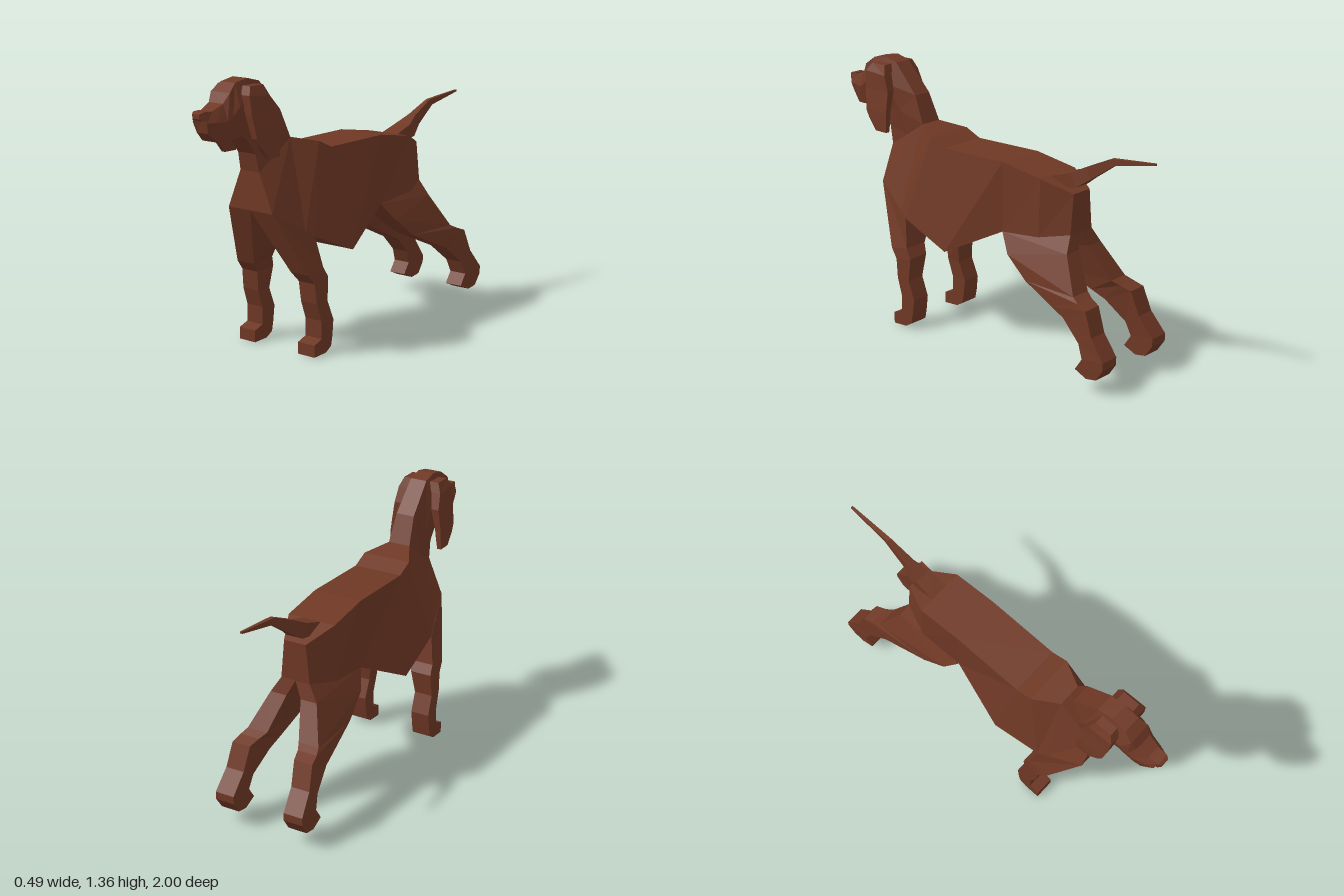
import * as THREE from 'three';

// Closed skin over rings of [x, y, z] points; winding is turned outward by signed volume.
function loft(rings) {
  const tris = [];
  const n = rings[0].length;
  for (let i = 0; i < rings.length - 1; i++) {
    for (let j = 0; j < n; j++) {
      const k = (j + 1) % n;
      const a = rings[i][j], b = rings[i][k], c = rings[i + 1][k], d = rings[i + 1][j];
      tris.push([a, b, c], [a, c, d]);
    }
  }
  const first = rings[0], last = rings[rings.length - 1];
  for (let j = 1; j < n - 1; j++) {
    tris.push([first[0], first[j + 1], first[j]], [last[0], last[j], last[j + 1]]);
  }
  let volume = 0;
  for (const [a, b, c] of tris) {
    volume += a[0] * (b[1] * c[2] - b[2] * c[1])
            + a[1] * (b[2] * c[0] - b[0] * c[2])
            + a[2] * (b[0] * c[1] - b[1] * c[0]);
  }
  if (volume < 0) tris.forEach((t) => t.reverse());
  const geometry = new THREE.BufferGeometry();
  geometry.setAttribute('position', new THREE.Float32BufferAttribute(tris.flat(2), 3));
  geometry.computeVertexNormals();
  return geometry;
}

// Completes a half ring (top to bottom on the left) with its mirror image.
const mirrorRing = (half) => [...half, ...half.map(([x, y, z]) => [-x, y, z]).reverse()];

// Limb ring: front edge z, y; back edge z, y; inner and outer x at front, then at back.
const limbRing = (side) => ([fz, fy, bz, by, fi, fo, bi = fi, bo = fo]) => [
  [side * fi, fy, fz], [side * fo, fy, fz], [side * bo, by, bz], [side * bi, by, bz],
];

export function createModel() {
  const group = new THREE.Group();
  const coat = new THREE.MeshStandardMaterial({ color: 0x6f3825, flatShading: true });
  coat.name = 'russet coat';

  const add = (name, rings) => {
    const mesh = new THREE.Mesh(loft(rings), coat);
    mesh.name = name;
    group.add(mesh);
  };

  // Torso from rump to chest
  add('torso', [
    [[0.06, 0.89, -0.57], [0.08, 0.69, -0.57]],
    [[0.13, 0.95, -0.42], [0.14, 0.66, -0.42]],
    [[0.13, 0.987, -0.18], [0.13, 0.63, -0.18]],
    [[0.13, 0.98, 0.21], [0.21, 0.467, 0.14]],
    [[0.13, 1.02, 0.30], [0.205, 0.58, 0.42]],
    [[0.06, 1.05, 0.43], [0.19, 0.61, 0.47]],
    [[0.06, 0.91, 0.65], [0.14, 0.72, 0.65]],
  ].map(mirrorRing));

  // Neck, skull and muzzle
  add('neckAndHead', [
    [[0.06, 1.05, 0.43], [0.065, 0.98, 0.54], [0.06, 0.91, 0.65]],
    [[0.05, 1.19, 0.49], [0.075, 1.10, 0.58], [0.055, 1.0, 0.67]],
    [[0.045, 1.34, 0.63], [0.085, 1.23, 0.66], [0.055, 1.08, 0.73]],
    [[0.045, 1.36, 0.71], [0.085, 1.24, 0.74], [0.055, 1.09, 0.75]],
    [[0.045, 1.345, 0.79], [0.085, 1.24, 0.80], [0.055, 1.095, 0.78]],
    [[0.06, 1.305, 0.84], [0.08, 1.20, 0.84], [0.055, 1.088, 0.82]],
    [[0.045, 1.258, 0.87], [0.075, 1.18, 0.87], [0.055, 1.085, 0.87]],
    [[0.035, 1.23, 0.93], [0.06, 1.18, 0.93], [0.05, 1.085, 0.91]],
    [[0.03, 1.225, 0.98], [0.045, 1.18, 0.975], [0.035, 1.13, 0.96]],
  ].map(mirrorRing));

  // Nose tip
  add('nose', [
    [[0.032, 1.232, 0.95], [0.036, 1.19, 0.95]],
    [[0.032, 1.23, 0.985], [0.034, 1.19, 0.985]],
    [[0.022, 1.222, 1.0], [0.022, 1.20, 1.0]],
  ].map(mirrorRing));

  // Tail, thinning to the tip
  add('tail', [
    [[0.05, 0.95, -0.42], [0.05, 0.90, -0.44]],
    [[0.045, 0.985, -0.53], [0.045, 0.92, -0.57]],
    [[0.022, 1.025, -0.61], [0.022, 0.97, -0.64]],
    [[0.012, 1.09, -0.75], [0.012, 1.06, -0.77]],
    [[0.006, 1.115, -1.0], [0.006, 1.105, -1.0]],
  ].map(mirrorRing));

  for (const [label, side] of [['left', 1], ['right', -1]]) {
    const ring = limbRing(side);

    // Hanging ear
    add(label + 'Ear', [
      [0.75, 1.33, 0.66, 1.33, 0.045, 0.10],
      [0.775, 1.29, 0.64, 1.28, 0.07, 0.122],
      [0.77, 1.20, 0.61, 1.20, 0.088, 0.13],
      [0.755, 1.09, 0.61, 1.09, 0.113, 0.146],
      [0.73, 1.05, 0.605, 1.04, 0.122, 0.15],
      [0.68, 0.99, 0.605, 0.99, 0.13, 0.152],
    ].map(ring));

    // Front leg from the shoulder to the paw
    add(label + 'FrontLeg', [
      [0.65, 0.72, 0.42, 0.58, 0, 0.14, 0, 0.205],
      [0.50, 0.41, 0.39, 0.43, 0.12, 0.23, 0.10, 0.23],
      [0.46, 0.36, 0.36, 0.38, 0.135, 0.237, 0.12, 0.235],
      [0.45, 0.26, 0.37, 0.26, 0.14, 0.24],
      [0.42, 0.17, 0.33, 0.16, 0.142, 0.243],
      [0.42, 0.08, 0.34, 0.08, 0.142, 0.245],
      [0.475, 0.06, 0.35, 0.03, 0.142, 0.245],
      [0.475, 0, 0.39, 0.005, 0.142, 0.245],
    ].map(ring));

    // Hind leg from the thigh to the paw
    add(label + 'HindLeg', [
      [-0.18, 0.63, -0.57, 0.69, 0, 0.13, 0, 0.08],
      [-0.25, 0.54, -0.59, 0.61, 0.05, 0.172, 0.04, 0.13],
      [-0.38, 0.44, -0.69, 0.44, 0.08, 0.188, 0.09, 0.20],
      [-0.56, 0.36, -0.73, 0.42, 0.10, 0.205, 0.11, 0.215],
      [-0.64, 0.325, -0.785, 0.40, 0.11, 0.212, 0.125, 0.225],
      [-0.75, 0.23, -0.83, 0.28, 0.135, 0.23, 0.135, 0.235],
      [-0.78, 0.16, -0.91, 0.18, 0.142, 0.24, 0.142, 0.245],
      [-0.74, 0.10, -0.91, 0.14, 0.142, 0.24, 0.142, 0.245],
      [-0.81, 0.07, -0.87, 0.08, 0.142, 0.242],
    ].map(ring));
  }
  return group;
}
